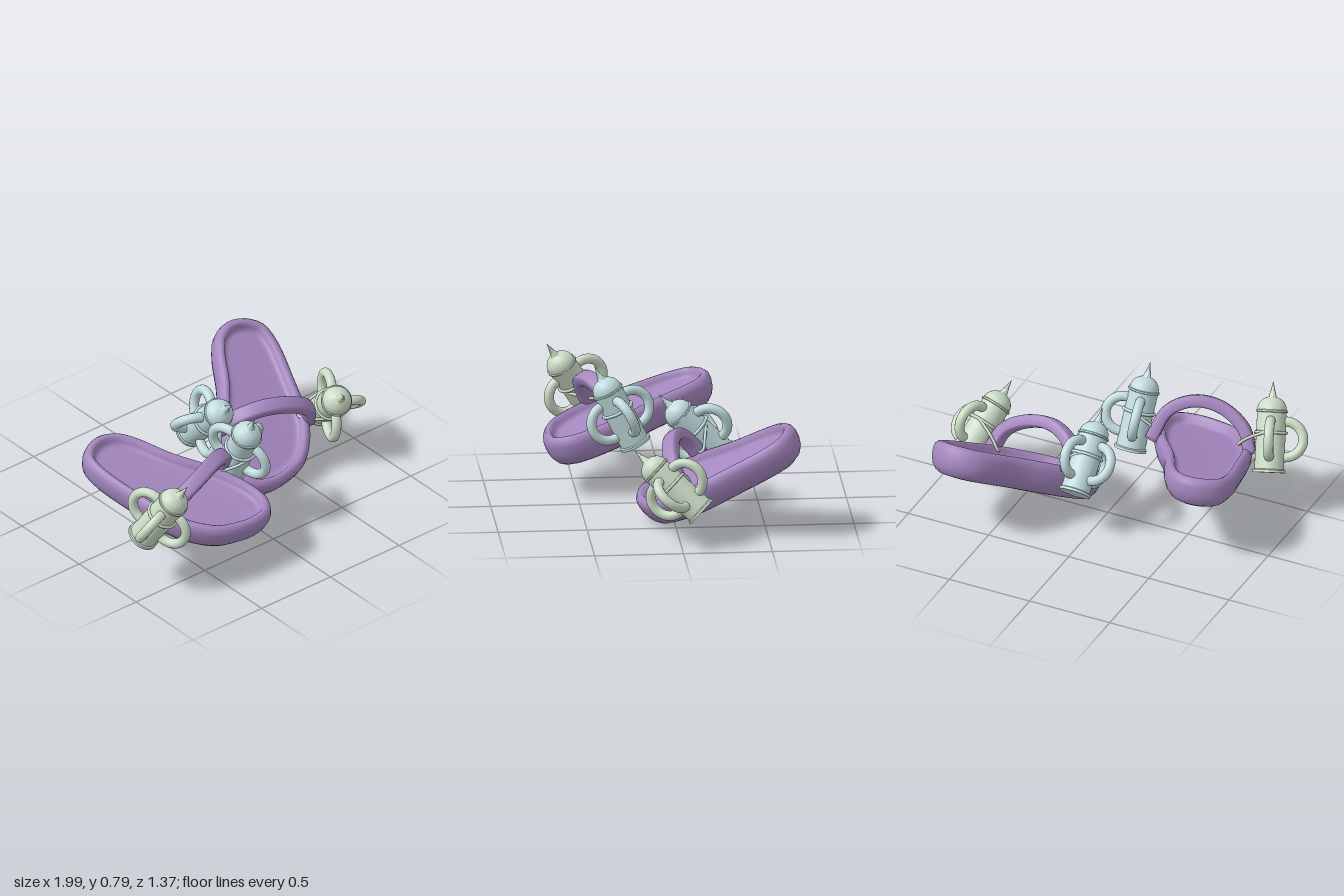
import * as THREE from 'three';
import { toCreasedNormals } from 'three/addons/utils/BufferGeometryUtils.js';

const V = (x, y, z) => new THREE.Vector3(x, y, z);
const mat = (color) => new THREE.MeshStandardMaterial({ color, side: THREE.DoubleSide });
const purple = mat(0xa386be), green = mat(0xcbdbc6), blue = mat(0xc1dbdd);

function mesh(name, geometry, material) {
  const m = new THREE.Mesh(geometry, material);
  m.name = name;
  return m;
}

// Smooth skin over a stack of closed rings, with both ends closed to a point.
function loft(rings) {
  const n = rings[0].length;
  const centre = (r) => r.reduce((s, p) => s.add(p), V(0, 0, 0)).divideScalar(n);
  const all = [rings[0].map(() => centre(rings[0])), ...rings,
    rings[0].map(() => centre(rings[rings.length - 1]))];
  const index = [];
  for (let i = 0; i < all.length - 1; i++) {
    for (let j = 0; j < n; j++) {
      const a = i * n + j, b = i * n + (j + 1) % n;
      if (i > 0) index.push(a, b, a + n);
      if (i < all.length - 2) index.push(b, b + n, a + n);
    }
  }
  const g = new THREE.BufferGeometry().setFromPoints(all.flat());
  g.setIndex(index);
  g.computeVertexNormals();
  return g;
}

// Foot outline, running from the heel down the outer side to the toe and back.
const OUTLINE = [
  [-0.16, -0.505], [-0.27, -0.484], [-0.355, -0.41], [-0.37, -0.29], [-0.32, -0.04], [-0.25, 0.21],
  [-0.17, 0.34], [-0.05, 0.445], [0.1, 0.485], [0.19, 0.49], [0.31, 0.455], [0.365, 0.35],
  [0.345, 0.21], [0.25, 0.01], [0.11, -0.19], [0.01, -0.38], [-0.06, -0.465],
];
// Sole section as [inset from the outline, height]: rounded underside, rim, sunken footbed.
const SECTION = [
  [0.105, -0.105], [0.07, -0.1], [0.038, -0.084], [0.014, -0.054], [0.001, -0.016], [-0.003, 0.03],
  [0.003, 0.058], [0.019, 0.075], [0.036, 0.079], [0.05, 0.071], [0.058, 0.05], [0.066, 0.034],
  [0.08, 0.029], [0.095, 0.027],
];

function soleGeometry(mirror) {
  let pts = OUTLINE.map(([x, z]) => V(mirror * x, 0, z));
  if (mirror < 0) pts = pts.reverse();
  const curve = new THREE.CatmullRomCurve3(pts, true);
  const N = 72;
  const base = [], inward = [];
  for (let i = 0; i < N; i++) {
    const t = curve.getTangentAt(i / N);
    base.push(curve.getPointAt(i / N));
    inward.push(V(t.z, 0, -t.x));
  }
  return loft(SECTION.map(([inset, y]) =>
    base.map((p, i) => p.clone().addScaledVector(inward[i], inset).setY(y))));
}

// Flat rounded band following an arch over the foot.
function strapGeometry(path) {
  const curve = new THREE.CatmullRomCurve3(path);
  const chord = path[path.length - 1].clone().sub(path[0]);
  const side = chord.cross(curve.getPointAt(0.5).sub(path[0])).normalize();
  const rings = [];
  const bulge = (v) => Math.sign(v) * Math.pow(Math.abs(v), 0.5);
  for (let i = 0; i <= 36; i++) {
    const p = curve.getPointAt(i / 36), t = curve.getTangentAt(i / 36);
    const s = side.clone().addScaledVector(t, -side.dot(t)).normalize();
    const u = t.clone().cross(s);
    const ring = [];
    for (let k = 0; k < 16; k++) {
      const a = (k / 16) * Math.PI * 2;
      ring.push(p.clone().addScaledVector(s, 0.045 * bulge(Math.cos(a)))
        .addScaledVector(u, 0.036 * bulge(Math.sin(a))));
    }
    rings.push(ring);
  }
  return loft(rings);
}

// Tankard: body, domed lid and spike in one profile.
function tankardGeometry() {
  const R = 0.083;
  const profile = [[0, 0], [0.092, 0], [0.092, 0.015], [R, 0.02], [R, 0.338], [0.09, 0.341],
    [0.09, 0.35], [R, 0.353]];
  for (let i = 1; i <= 6; i++) {
    const a = (i / 6) * 1.27;
    profile.push([R * Math.cos(a), 0.353 + 0.075 * Math.sin(a)]);
  }
  profile.push([0.023, 0.426], [0.011, 0.468], [0, 0.515]);
  const g = new THREE.LatheGeometry(profile.map(([x, y]) => new THREE.Vector2(x, y)), 32);
  return toCreasedNormals(g, 0.6);
}

// Three-handled tankard standing along an axis, tied by a cord to a strap end.
// The middle handle points outward (outX), turned by spin about the axis.
function tankard(name, tip, axis, outX, spin, tie, material) {
  const g = new THREE.Group();
  g.name = name;
  const d = axis.clone().normalize();
  const o = V(outX, 0, 0);
  o.addScaledVector(d, -o.dot(d)).normalize();
  g.applyMatrix4(new THREE.Matrix4().makeBasis(o, d, o.clone().cross(d))
    .setPosition(tip.clone().addScaledVector(d, -0.515)));
  g.updateMatrixWorld();
  g.add(mesh('tankardBody', tankardGeometry(), material));

  const arc = 3.7;
  for (const k of [-1, 0, 1]) {
    const h = new THREE.TorusGeometry(0.1, 0.028, 14, 36, arc);
    h.rotateZ(-arc / 2).translate(0.083, 0.19, 0).rotateY(spin + (k * Math.PI) / 2);
    g.add(mesh('tankardHandle', h, material));
  }

  // Cord looped round the body and drawn out round the strap end.
  const y = 0.225;
  const ring = new THREE.TorusGeometry(0.087, 0.009, 8, 40);
  g.add(mesh('cordRing', ring.rotateX(Math.PI / 2).translate(0, y, 0), material));
  const end = g.worldToLocal(tie.clone());
  const strand = (z) => V(end.x * 0.6, (y + end.y) / 2, end.z * 0.6 + z);
  const cord = new THREE.CatmullRomCurve3(
    [V(0, y, 0.089), strand(0.055), end, strand(-0.055), V(0, y, -0.089)]);
  g.add(mesh('cord', new THREE.TubeGeometry(cord, 40, 0.009, 8), material));
  return g;
}

function sandal(name, mirror, position, pitch, path) {
  const g = new THREE.Group();
  g.name = name;
  const sole = mesh('sole', soleGeometry(mirror), purple);
  sole.position.copy(position);
  sole.rotation.x = THREE.MathUtils.degToRad(pitch);
  g.add(sole, mesh('strap', strapGeometry(path), purple));
  return g;
}

export function createModel() {
  const model = new THREE.Group();
  model.name = 'sandalsWithTankards';

  model.add(sandal('rightSandal', 1, V(-0.45, 0.377, 0.193), 14.5, [
    V(-0.70, 0.37, 0.38), V(-0.64, 0.49, 0.43), V(-0.5, 0.585, 0.442),
    V(-0.35, 0.615, 0.4), V(-0.22, 0.56, 0.322), V(-0.16, 0.41, 0.22)]));
  model.add(sandal('leftSandal', -1, V(0.45, 0.309, -0.242), 31.3, [
    V(0.17, 0.32, -0.17), V(0.2, 0.435, -0.07), V(0.33, 0.484, 0.0),
    V(0.5, 0.452, 0.03), V(0.65, 0.36, 0.015), V(0.71, 0.23, -0.05)]));

  model.add(
    tankard('rightOuterTankard', V(-0.727, 0.725, 0.625), V(0.2, 0.82, 0.52), -1, 0.32,
      V(-0.635, 0.43, 0.36), green),
    tankard('rightInnerTankard', V(-0.065, 0.79, 0.413), V(-0.03, 0.89, 0.45), 1, 0.32,
      V(-0.21, 0.43, 0.26), blue),
    tankard('leftInnerTankard', V(0.063, 0.652, 0.063), V(0.005, 0.7, 0.71), -1, -0.32,
      V(0.22, 0.36, -0.17), blue),
    tankard('leftOuterTankard', V(0.722, 0.53, 0.255), V(-0.25, 0.65, 0.72), 1, -0.32,
      V(0.65, 0.27, -0.07), green));
  return model;
}
